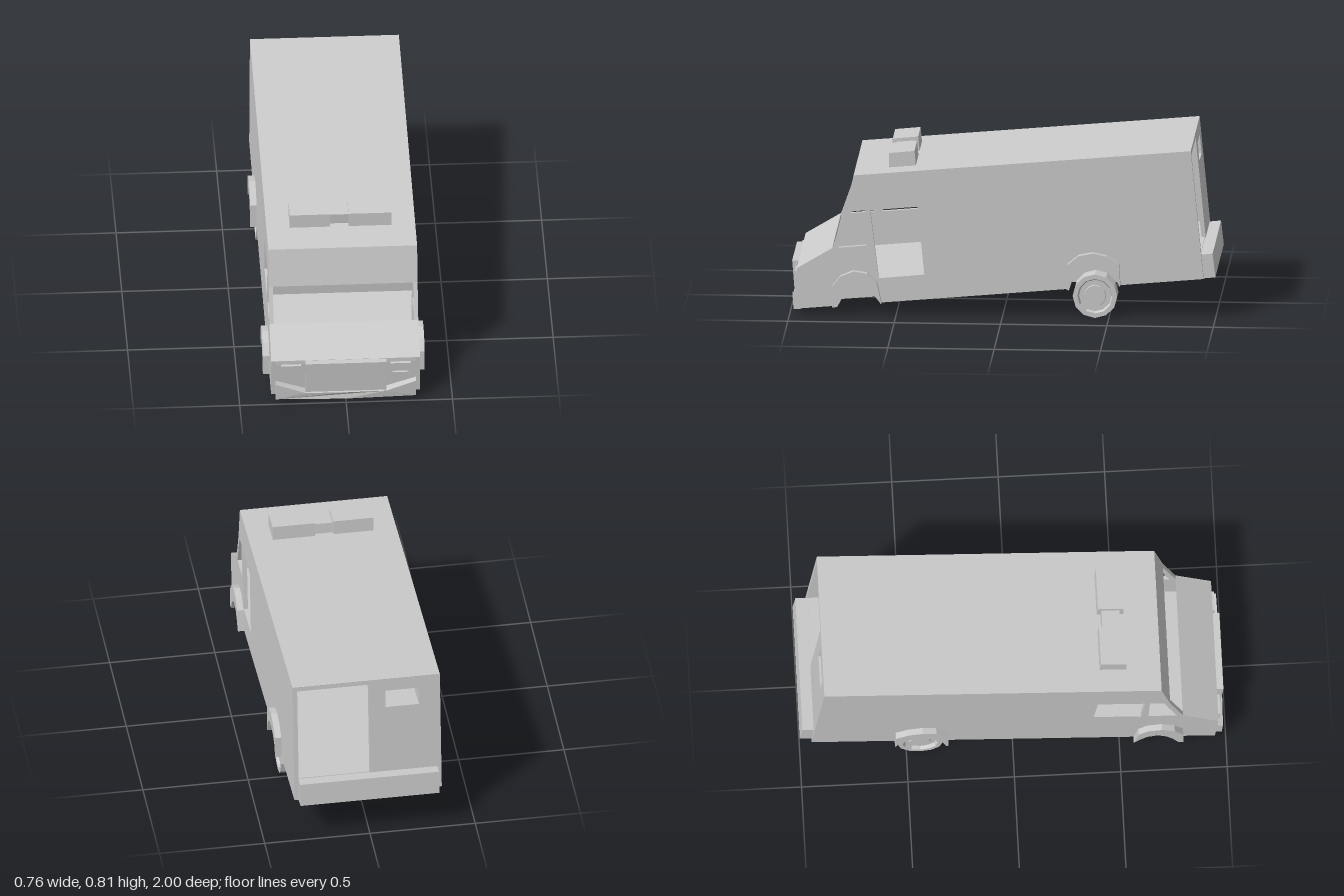
import * as THREE from 'three';

const material = new THREE.MeshStandardMaterial({ color: 0xcccccc, flatShading: true });
const W = 0.35; // half width of the body
const T = 0.02; // wall thickness
const bottom = (z) => 0.111 - 0.0893 * z; // sloping underside

const toPath = (pts, C = THREE.Shape) => new C(pts.map(([a, b]) => new THREE.Vector2(a, b)));

function extrude(name, pts, depth, holes = []) {
  const shape = toPath(pts);
  shape.holes = holes.map((h) => toPath(h, THREE.Path));
  const mesh = new THREE.Mesh(new THREE.ExtrudeGeometry(shape, { depth, bevelEnabled: false }), material);
  mesh.name = name;
  return mesh;
}

// Side outline in [z, y], extruded across the van from x0 to x1
function prism(name, pts, x0, x1, holes) {
  const mesh = extrude(name, pts, x1 - x0, holes);
  mesh.rotation.y = -Math.PI / 2;
  mesh.position.x = x1;
  return mesh;
}

// Sheet outline in [x, height], leaning from point a to point b, both [z, y]
function panel(name, pts, a, b, depth, holes) {
  const mesh = extrude(name, pts, depth, holes);
  mesh.rotation.x = Math.atan2(b[0] - a[0], b[1] - a[1]);
  mesh.position.set(0, a[1], a[0]);
  return mesh;
}

const rect = (x0, y0, x1, y1) => [[x0, y0], [x1, y0], [x1, y1], [x0, y1]];

export function createModel() {
  const van = new THREE.Group();
  van.name = 'stepVan';

  // Wheel openings, listed from rear to front
  const rearArch = [[-0.55, 0.16], [-0.53, 0.215], [-0.485, 0.242], [-0.43, 0.252],
    [-0.375, 0.24], [-0.335, 0.205], [-0.315, 0.139]];
  const frontArch = [[0.57, 0.06], [0.6, 0.1], [0.63, 0.13], [0.68, 0.145],
    [0.72, 0.125], [0.75, 0.09], [0.775, 0.042]];
  const rearFlare = [[-0.303, 0.14], [-0.305, 0.26], [-0.36, 0.305], [-0.425, 0.318],
    [-0.49, 0.305], [-0.55, 0.268], [-0.555, 0.161]];
  const frontFlare = [[0.8, 0.04], [0.8, 0.14], [0.76, 0.19], [0.7, 0.215],
    [0.635, 0.205], [0.59, 0.165], [0.567, 0.06]];

  // Key corners of the side outline
  const rearLow = [-0.945, bottom(-0.945)], rearTop = [-0.885, 0.812];
  const noseLow = [0.95, bottom(0.95)], noseTop = [0.967, 0.22];
  const cowl = [0.8, 0.32], screenTop = [0.74, 0.49], roofFront = [0.7, 0.672];
  const outline = [rearLow, ...rearArch, ...frontArch, noseLow, noseTop, cowl, screenTop, roofFront, rearTop];

  // Side walls: open doorway on the left, window only on the right
  const quarterWindow = [[0.772, 0.322], [0.71, 0.498], [0.645, 0.504], [0.638, 0.335]];
  const doorway = [[0.582, 0.177], [0.622, 0.505], [0.4, 0.525], [0.367, 0.198]];
  const sideWindow = [[0.602, 0.335], [0.622, 0.505], [0.4, 0.525], [0.38, 0.355]];
  van.add(prism('leftWall', outline, W - T, W, [quarterWindow, doorway]));
  van.add(prism('rightWall', outline, -W, -W + T, [quarterWindow, sideWindow]));

  // Floor: full centre section, and outer sections notched for the wheels
  const H = 0.117;
  const floorTop = [[0.945, bottom(0.945) + H], [-0.93, bottom(-0.93) + H]];
  van.add(prism('floorCentre', [rearLow, noseLow, ...floorTop], -0.22, 0.22));
  for (const s of [-1, 1]) {
    const xs = [s * 0.22, s * (W - T)].sort((a, b) => a - b);
    van.add(prism('floorSide', [rearLow, ...rearArch, ...frontArch, noseLow, ...floorTop], ...xs));
  }

  // Skins between the walls
  const skin = (name, a, b, dz, dy) => van.add(prism(name,
    [a, b, [b[0] + dz, b[1] + dy], [a[0] + dz, a[1] + dy]], -W + T, W - T));
  skin('roof', roofFront, rearTop, 0, -T);
  skin('header', screenTop, roofFront, -T, 0);
  skin('hood', noseTop, cowl, 0, -T);
  skin('nosePanel', noseLow, noseTop, -T, 0);
  skin('bulkhead', [0.36, 0.18], [0.405, 0.69], -T, 0);

  // Rear wall with an open doorway on the left and a small window on the right
  van.add(panel('rearWall', rect(-W + T, 0, W - T, 0.617), rearLow, rearTop, T,
    [rect(-0.01, 0.11, W - T - 0.002, 0.597), rect(-0.25, 0.465, -0.09, 0.555)]));

  // Bumpers
  van.add(prism('rearBumper', [[-0.93, 0.308], [-0.987, 0.314], [-1, 0.2], [-0.945, 0.194]], -0.33, 0.33));
  const bumper = panel('frontBumper', [[-0.33, 0], [0, 0], [0.33, 0], [0.33, 0.085], [0.19, 0.037],
    [0, 0.037], [-0.19, 0.037], [-0.33, 0.085]], [0.945, 0.02], [0.951, 0.105], 0.049);
  const pos = bumper.geometry.attributes.position;
  for (let i = 0; i < pos.count; i++) { // bow the front face slightly
    if (pos.getZ(i) > 0.02) pos.setZ(i, 0.049 - 0.1 * pos.getX(i) ** 2);
  }
  van.add(bumper);

  // Grille block
  van.add(prism('grille', [[0.95, 0.055], [0.985, 0.055], [0.998, 0.218], [0.965, 0.219]], -0.19, 0.19));

  // Wheel flares and headlights, mirrored
  for (const s of [-1, 1]) {
    const xs = s > 0 ? [W, 0.38] : [-0.38, -W];
    van.add(prism('rearFlare', [...rearFlare, ...rearArch], ...xs));
    van.add(prism('frontFlare', [...frontFlare, ...frontArch], ...xs));

    const [o0, o1, i0, i1] = [0.21, 0.305, 0.22, 0.294].map((x) => s * x);
    van.add(panel('headlightFrame', rect(o0, 0.11, o1, 0.173), noseLow, noseTop, 0.014,
      [rect(i0, 0.12, i1, 0.165)]));
    van.add(panel('headlightLens', rect(i0, 0.12, i1, 0.165), noseLow, noseTop, 0.004));
  }

  // Roof light bar
  const pod = [[0.54, 0.68], [0.54, 0.755], [0.42, 0.767], [0.413, 0.692]];
  van.add(prism('roofLight', pod, -0.24, -0.05));
  van.add(prism('roofLight', pod, 0.037, 0.238));
  van.add(prism('roofLightBridge', [[0.515, 0.68], [0.52, 0.74], [0.437, 0.748], [0.43, 0.69]], -0.05, 0.037));

  // Rear wheels with dished rims
  const wheelProfile = [[0, 0.255], [0.105, 0.255], [0.105, 0.35], [0.083, 0.35], [0.076, 0.333],
    [0.052, 0.333], [0.05, 0.343], [0, 0.343]].map(([r, x]) => new THREE.Vector2(r, x));
  for (const s of [-1, 1]) {
    const wheel = new THREE.Mesh(new THREE.LatheGeometry(wheelProfile, 12), material);
    wheel.name = 'rearWheel';
    wheel.rotation.z = -s * Math.PI / 2;
    wheel.position.set(0, 0.105, -0.435);
    van.add(wheel);
  }
  return van;
}
